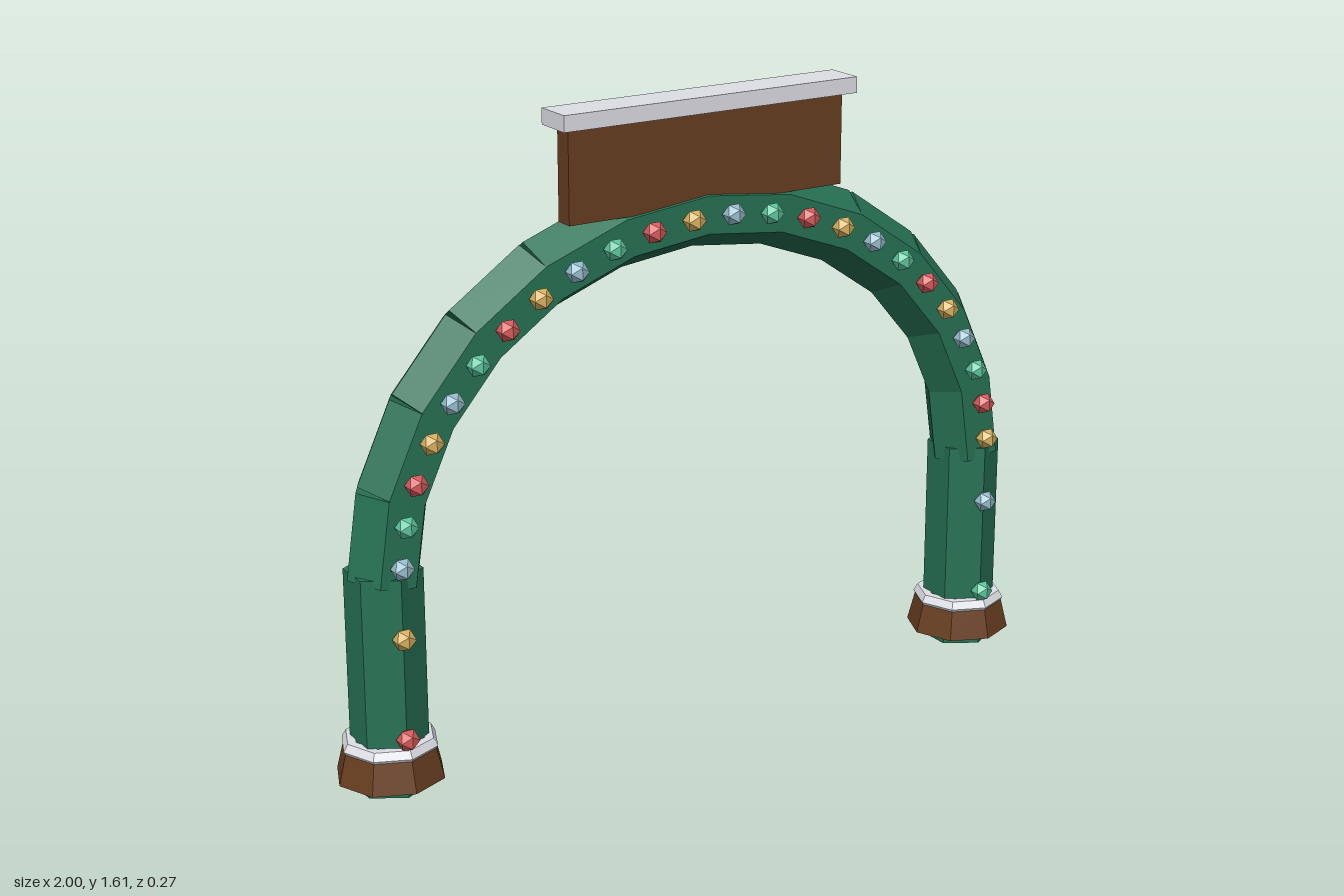
import * as THREE from 'three';

const mat = (name, color) => {
  const m = new THREE.MeshStandardMaterial({ color, flatShading: true });
  m.name = name;
  return m;
};

export function createModel() {
  const group = new THREE.Group();
  const green = mat('evergreen', 0x277355);
  const wood = mat('wood', 0x683e20);
  const snow = mat('snow', 0xe0e1e8);
  const bulbs = [
    mat('red bulb', 0xd65a5a),
    mat('yellow bulb', 0xd6b05e),
    mat('blue bulb', 0x96bccb),
    mat('green bulb', 0x5cc49c),
  ];

  const add = (name, geometry, material, x, y, z) => {
    const mesh = new THREE.Mesh(geometry, material);
    mesh.name = name;
    mesh.position.set(x, y, z);
    group.add(mesh);
    return mesh;
  };

  // Half ellipse followed by the arch, from the right foot (-x) to the left
  const halfWidth = 0.862, spring = 0.54, rise = 0.775;
  const archPoint = (t) => new THREE.Vector2(
    -halfWidth * Math.cos(t * Math.PI), spring + rise * Math.sin(t * Math.PI));

  // Pillars with octagonal wooden feet and a ring of snow
  const snowRing = new THREE.TorusGeometry(0.1, 0.022, 6, 8).rotateX(Math.PI / 2);
  for (const side of [-1, 1]) {
    const x = side * halfWidth;
    add('pillar', new THREE.CylinderGeometry(0.095, 0.095, 0.56, 6), green, x, 0.28, 0);
    add('foot', new THREE.CylinderGeometry(0.116, 0.137, 0.085, 8), wood, x, 0.07, 0);
    add('footSnow', snowRing, snow, x, 0.112, 0);
  }

  // Arch of straight hexagonal segments, ridge pointing outward
  const segments = 12;
  for (let i = 0; i < segments; i++) {
    const a = archPoint(i / segments), b = archPoint((i + 1) / segments);
    const geometry = new THREE.CylinderGeometry(0.094, 0.094, a.distanceTo(b) + 0.012, 6)
      .rotateY(Math.PI / 2);
    const mesh = add('archSegment', geometry, green, (a.x + b.x) / 2, (a.y + b.y) / 2, 0);
    mesh.rotation.z = Math.atan2(b.y - a.y, b.x - a.x) - Math.PI / 2;
  }

  // String of lights: two on each pillar, twenty-four along the arch
  const spots = [new THREE.Vector2(-halfWidth, 0.155), new THREE.Vector2(-halfWidth, 0.413)];
  for (let i = 0; i < 24; i++) spots.push(archPoint((i + 0.5) / 24));
  spots.push(new THREE.Vector2(halfWidth, 0.413), new THREE.Vector2(halfWidth, 0.155));
  const bulb = new THREE.IcosahedronGeometry(0.029, 0);
  spots.forEach((p, i) => add('light', bulb, bulbs[i % 4], p.x, p.y, 0.102));

  // Sign board with a snowy cap
  add('signBoard', new THREE.BoxGeometry(0.774, 0.235, 0.05), wood, 0, 1.458, 0.052);
  add('signSnow', new THREE.BoxGeometry(0.825, 0.04, 0.104), snow, 0, 1.591, 0.052);

  return group;
}
